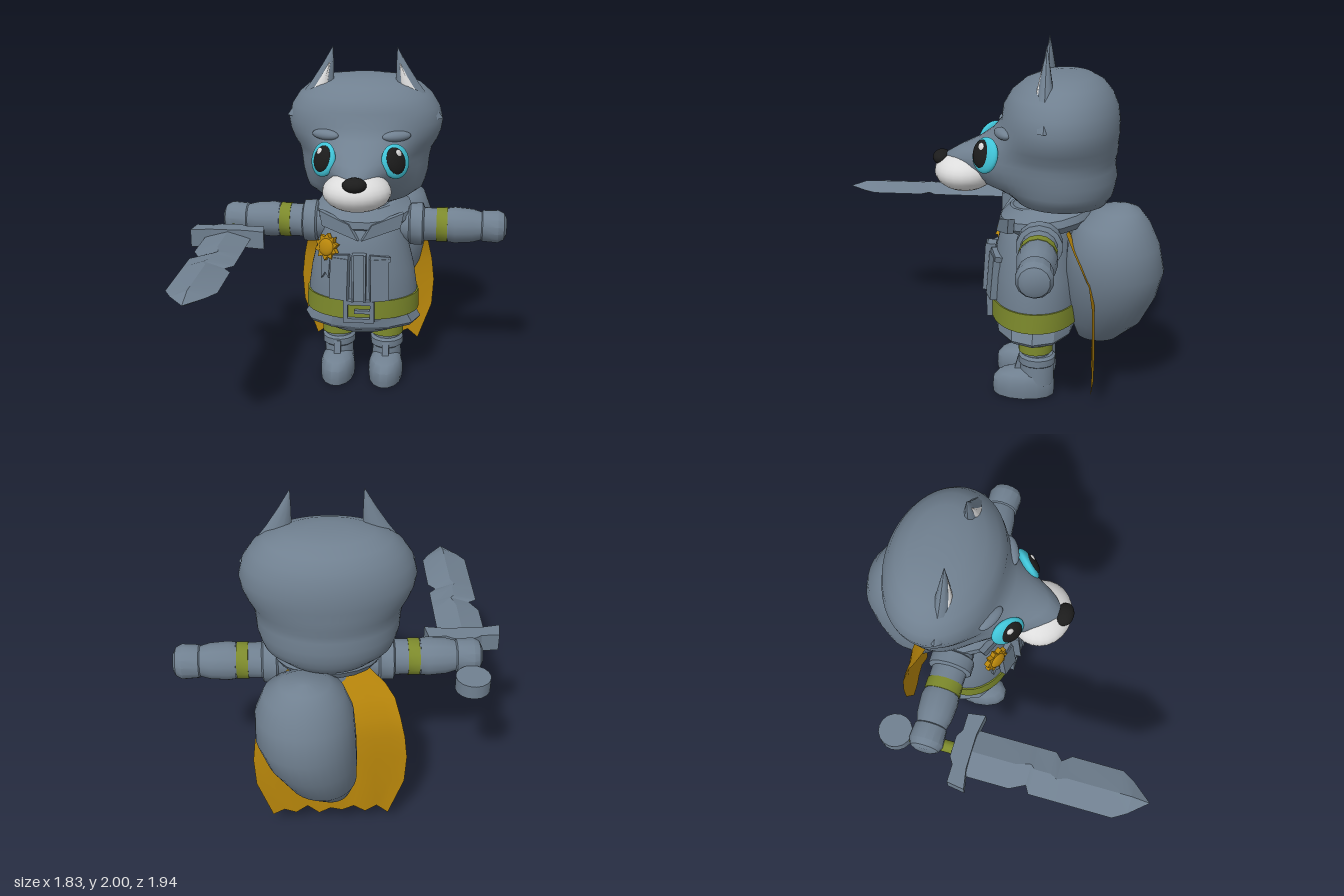
import * as THREE from 'three';
import { toCreasedNormals } from 'three/addons/utils/BufferGeometryUtils.js';

const mat = (name, color, side = THREE.FrontSide) => {
  const m = new THREE.MeshStandardMaterial({ color, side });
  m.name = name;
  return m;
};

// Closed skin through elliptical rings [y, cx, cz, rx, rz, snout], listed upwards.
function loft(rings, n = 24, crease = 0.9) {
  const pos = [], idx = [];
  for (const [y, cx, cz, rx, rz, snout = 0] of rings) {
    for (let i = 0; i < n; i++) {
      const a = (i / n) * Math.PI * 2, s = Math.sin(a);
      pos.push(cx + rx * Math.cos(a), y, cz + rz * s + snout * Math.max(0, s) ** 6);
    }
  }
  const last = rings.length - 1, base = rings.length * n;
  for (const r of [rings[0], rings[last]]) pos.push(r[1], r[0], r[2]);
  for (let i = 0; i < n; i++) {
    const j = (i + 1) % n;
    for (let k = 0; k < last; k++) {
      const a = k * n + i, b = k * n + j;
      idx.push(a, a + n, b, b, a + n, b + n);
    }
    idx.push(base, i, j, base + 1, last * n + j, last * n + i);
  }
  const g = new THREE.BufferGeometry();
  g.setAttribute('position', new THREE.Float32BufferAttribute(pos, 3));
  g.setIndex(idx);
  return toCreasedNormals(g, crease);
}

const plate = (points, depth) => new THREE.ExtrudeGeometry(
  new THREE.Shape(points.map(p => new THREE.Vector2(...p))), { depth, bevelEnabled: false });

export function createModel() {
  const grey = mat('slate grey', 0x708090), gold = mat('gold', 0xb8860b);
  const cloth = mat('cape gold', 0xb8860b, THREE.DoubleSide);
  const olive = mat('olive', 0x7d8a2c), cyan = mat('cyan', 0x40c4d8);
  const black = mat('black', 0x1c1c1c), white = mat('white', 0xdcdcdc);

  const root = new THREE.Group();
  root.name = 'foxKnight';
  const body = new THREE.Group();
  body.name = 'character';
  body.position.x = 0.07;
  root.add(body);
  const add = (name, geo, m, p = [0, 0, 0], r = [0, 0, 0], parent = body) => {
    const mesh = new THREE.Mesh(geo, m);
    mesh.name = name;
    mesh.position.set(...p);
    mesh.rotation.set(...r, 'YXZ');
    parent.add(mesh);
    return mesh;
  };
  const ball = (name, m, p, size, r, parent) =>
    add(name, new THREE.SphereGeometry(1, 24, 16), m, p, r, parent).scale.set(...size);
  const box = (name, m, size, p, r) => add(name, new THREE.BoxGeometry(...size), m, p, r);

  // Head with the snout drawn forward
  add('head', loft([
    [1.10, 0, -0.38, 0.18, 0.18], [1.13, 0, -0.40, 0.27, 0.25], [1.18, 0, -0.40, 0.34, 0.28, 0.03],
    [1.22, 0, -0.40, 0.355, 0.29, 0.14], [1.28, 0, -0.40, 0.37, 0.30, 0.26], [1.34, 0, -0.39, 0.375, 0.30, 0.34],
    [1.38, 0, -0.39, 0.38, 0.30, 0.33], [1.42, 0, -0.39, 0.39, 0.31, 0.25], [1.47, 0, -0.385, 0.42, 0.315, 0.13],
    [1.52, 0, -0.385, 0.44, 0.32, 0.05], [1.58, 0, -0.385, 0.45, 0.32], [1.66, 0, -0.385, 0.43, 0.31],
    [1.73, 0, -0.39, 0.385, 0.275], [1.785, 0, -0.40, 0.32, 0.22], [1.82, 0, -0.41, 0.23, 0.15],
    [1.835, 0, -0.41, 0.11, 0.07]], 64, 1.5), grey);
  ball('muzzle', white, [0, 1.28, 0.135], [0.19, 0.11, 0.17]);
  ball('nose', black, [0, 1.35, 0.265], [0.066, 0.042, 0.05]);

  for (const s of [-1, 1]) {
    // Eye: rim, pupil and glint
    const eye = new THREE.Group();
    eye.name = s > 0 ? 'leftEye' : 'rightEye';
    eye.position.set(s * 0.2, 1.42, 0.005);
    eye.rotation.set(-0.25, s * 0.78, s * 0.2, 'YXZ');
    body.add(eye);
    ball('iris', cyan, [0, 0, 0], [0.095, 0.097, 0.035], [0, 0, 0], eye);
    ball('pupil', black, [-s * 0.01, 0.005, 0.014], [0.066, 0.078, 0.033], [0, 0, 0], eye);
    ball('glint', white, [s * 0.008, 0.042, 0.038], [0.02, 0.022, 0.009], [0, 0, 0], eye);
    ball('eyebrow', grey, [s * 0.2, 1.54, -0.085], [0.085, 0.03, 0.035], [0, s * 0.45, 0]);

    // Ear and its pale inside
    add('ear', loft([[1.6, s * 0.33, -0.31, 0.12, 0.055], [1.7, s * 0.285, -0.31, 0.098, 0.052],
      [1.8, s * 0.242, -0.31, 0.065, 0.038], [1.9, s * 0.21, -0.31, 0.032, 0.02],
      [2.0, s * 0.183, -0.31, 0.001, 0.001]], 10, 0.7), grey);
    add('innerEar', loft([[1.735, s * 0.28, -0.279, 0.035, 0.02], [1.79, s * 0.243, -0.283, 0.036, 0.018],
      [1.91, s * 0.2, -0.297, 0.004, 0.006]], 10, 0.7), white);

    // Arm, arm band and gloved hand
    const arm = (name, rings, m) => add(name,
      loft(rings.map(([x, r]) => [x, 0, 0, r, r]), 14, 0.6).rotateZ(-s * Math.PI / 2), m, [0, 0.965, -0.295]);
    arm('sleeve', [[0.15, 0.1], [0.27, 0.11], [0.28, 0.125], [0.35, 0.125], [0.36, 0.1], [0.5, 0.097]], grey);
    arm('armBand', [[0.432, 0.103], [0.495, 0.103]], olive);
    arm('glove', [[0.5, 0.102], [0.54, 0.108], [0.64, 0.1], [0.71, 0.08]], grey);
    arm('hand', [[0.68, 0.07], [0.70, 0.092], [0.79, 0.098], [0.825, 0.08], [0.84, 0.05]], grey);

    // Leg, knee band and boot
    const x = s * 0.147;
    add('leg', loft([[0.2, x, -0.275, 0.075, 0.075], [0.42, x, -0.275, 0.09, 0.095]], 16), grey);
    add('kneeBand', loft([[0.275, x, -0.275, 0.1, 0.097], [0.33, x, -0.275, 0.1, 0.097]], 20), olive);
    add('bootShaft', loft([[0.08, x, -0.285, 0.092, 0.1], [0.19, x, -0.285, 0.085, 0.095],
      [0.2, x, -0.285, 0.1, 0.105], [0.24, x, -0.285, 0.1, 0.105], [0.255, x, -0.285, 0.085, 0.09]], 14, 0.6), grey);
    add('foot', loft([[0, x, -0.21, 0.1, 0.175], [0.04, x, -0.21, 0.105, 0.18], [0.09, x, -0.21, 0.103, 0.178],
      [0.13, x, -0.22, 0.09, 0.155], [0.155, x, -0.25, 0.06, 0.11]], 14, 0.7), grey);
    box('bootStrap', grey, [0.04, 0.14, 0.03], [x, 0.16, -0.175], [-0.25, 0, 0]);

    // Tunic front panels and lapels
    box('tunicPanel', grey, [0.11, 0.25, 0.04], [s * 0.115, 0.7, -0.03], [-0.08, s * 0.3, 0]);
    box('pocketFlap', grey, [0.12, 0.03, 0.045], [s * 0.115, 0.825, -0.05], [-0.15, s * 0.3, s * -0.15]);
    const lapel = [[0, 0.93], [0.23, 0.99], [0.25, 1.08], [0.06, 1.02]].map(([px, py]) => [s * px, py]);
    add('lapel', plate(lapel, 0.035), grey, [0, 0, -0.07], [0, s * 0.35, 0]);
  }

  // Tunic, collar, skirt and belt
  add('tunic', loft([[0.33, 0, -0.265, 0.2, 0.16], [0.37, 0, -0.265, 0.27, 0.21], [0.46, 0, -0.265, 0.32, 0.24],
    [0.58, 0, -0.265, 0.325, 0.245], [0.72, 0, -0.265, 0.305, 0.24], [0.88, 0, -0.265, 0.265, 0.22],
    [1.0, 0, -0.275, 0.23, 0.2], [1.13, 0, -0.3, 0.16, 0.15]], 36), grey);
  add('collar', loft([[-0.04, 0, 0, 0.26, 0.24], [0, 0, 0, 0.29, 0.27], [0.04, 0, 0, 0.28, 0.26],
    [0.09, 0, 0, 0.2, 0.2]], 18, 0.5), grey, [0, 1.035, -0.325], [0.16, 0, 0]);
  add('skirt', loft([[0.37, 0, -0.265, 0.335, 0.215], [0.39, 0, -0.265, 0.35, 0.23],
    [0.46, 0, -0.265, 0.31, 0.24]], 12, 0.3), grey);
  add('belt', loft([[0.452, 0, -0.265, 0.337, 0.252], [0.565, 0, -0.265, 0.334, 0.252]], 36), olive);
  for (const s of [-1, 1]) {
    box('buckleSide', grey, [0.025, 0.135, 0.035], [s * 0.078, 0.508, -0.008]);
    box('buckleRail', grey, [0.18, 0.025, 0.035], [0, 0.508 + s * 0.055, -0.008]);
    box('placketEdge', grey, [0.012, 0.28, 0.06], [s * 0.035, 0.72, 0], [-0.06, 0, 0]);
  }
  box('buckleProng', grey, [0.09, 0.02, 0.03], [0.02, 0.508, -0.005]);
  box('placket', grey, [0.07, 0.28, 0.05], [0, 0.72, -0.005], [-0.06, 0, 0]);

  // Star badge with its ribbon
  const star = Array.from({ length: 20 }, (_, i) => {
    const a = i * Math.PI / 10, r = i % 2 ? 0.057 : 0.08;
    return [r * Math.sin(a), r * Math.cos(a)];
  });
  const turn = [-0.2, -0.5, 0];
  add('badge', plate(star, 0.03), gold, [-0.185, 0.875, -0.085], turn);
  ball('badgeBoss', gold, [-0.197, 0.88, -0.058], [0.05, 0.05, 0.02], turn);
  add('badgeRibbon', plate([[-0.03, 0], [0.03, 0], [0.025, -0.16], [0, -0.13], [-0.025, -0.17]], 0.02),
    grey, [-0.19, 0.85, -0.095], [-0.1, -0.5, 0]);

  // Cape with a ragged hem
  const rows = [[1.0, -0.44, 0.22], [0.93, -0.48, 0.3], [0.86, -0.52, 0.35], [0.76, -0.57, 0.38],
    [0.64, -0.59, 0.405], [0.5, -0.595, 0.42], [0.33, -0.6, 0.41], [0.09, -0.6, 0.325]];
  const hem = [0, 0.05, 0.02, 0.06, 0.02, 0.05, 0.015, 0.06, 0.02, 0.05, 0];
  const cape = new THREE.PlaneGeometry(1, 1, hem.length - 1, rows.length - 1);
  const cp = cape.attributes.position;
  for (let i = 0; i < cp.count; i++) {
    const c = i % hem.length, k = Math.floor(i / hem.length), [y, z, w] = rows[k];
    cp.setXYZ(i, cp.getX(i) * 2 * w, y + (k === rows.length - 1 ? hem[c] : 0), z + 0.008 * Math.sin(c * 2));
  }
  cape.computeVertexNormals();
  add('cape', cape, cloth);

  // Bushy tail leaning to one side
  add('tail', loft([[0.28, -0.01, -0.62, 0.04, 0.04], [0.32, 0, -0.625, 0.11, 0.12], [0.45, 0.05, -0.665, 0.19, 0.2],
    [0.62, 0.1, -0.69, 0.24, 0.245], [0.78, 0.13, -0.7, 0.263, 0.27], [0.93, 0.135, -0.69, 0.255, 0.25],
    [1.05, 0.135, -0.69, 0.21, 0.195], [1.12, 0.13, -0.715, 0.13, 0.115], [1.15, 0.13, -0.74, 0.03, 0.03]], 32, 1.2), grey);

  // Notched sword held forward
  const sword = new THREE.Group();
  sword.name = 'sword';
  sword.position.set(-0.7, 0.92, 0);
  root.add(sword);
  const blade = [[-0.06, 0, 0.135], [0.21, 0, 0.135], [0.295, 0.022, 0.113], [0.32, 0, 0.135], [0.41, 0, 0.135],
    [0.45, -0.02, 0.115], [0.5, 0, 0.135], [0.79, 0, 0.135], [0.865, 0, 0.09], [0.97, 0, 0.001]];
  add('blade', loft(blade.map(([z, cx, w]) => [z, cx, 0, w, z > 0.9 ? 0.001 : 0.038]), 4, 0.3)
    .rotateX(Math.PI / 2), grey, [0, 0, 0], [0, 0, 0], sword);
  const guard = plate([[-0.215, 0.02], [-0.2, 0.12], [-0.1, 0.12], [-0.06, 0.145], [0.06, 0.145], [0.1, 0.12],
    [0.2, 0.12], [0.215, 0.02], [0.1, 0.04], [-0.1, 0.04]].reverse(), 0.105).rotateX(-Math.PI / 2);
  add('guard', guard, grey, [0, -0.055, 0], [0, 0, 0], sword);
  add('grip', new THREE.CylinderGeometry(0.035, 0.035, 0.32, 12).rotateX(Math.PI / 2), olive,
    [0, 0, -0.26], [0, 0, 0], sword);
  add('pommel', new THREE.CylinderGeometry(0.095, 0.095, 0.08, 16), grey, [0, 0, -0.48], [0, 0, 0], sword);
  return root;
}
